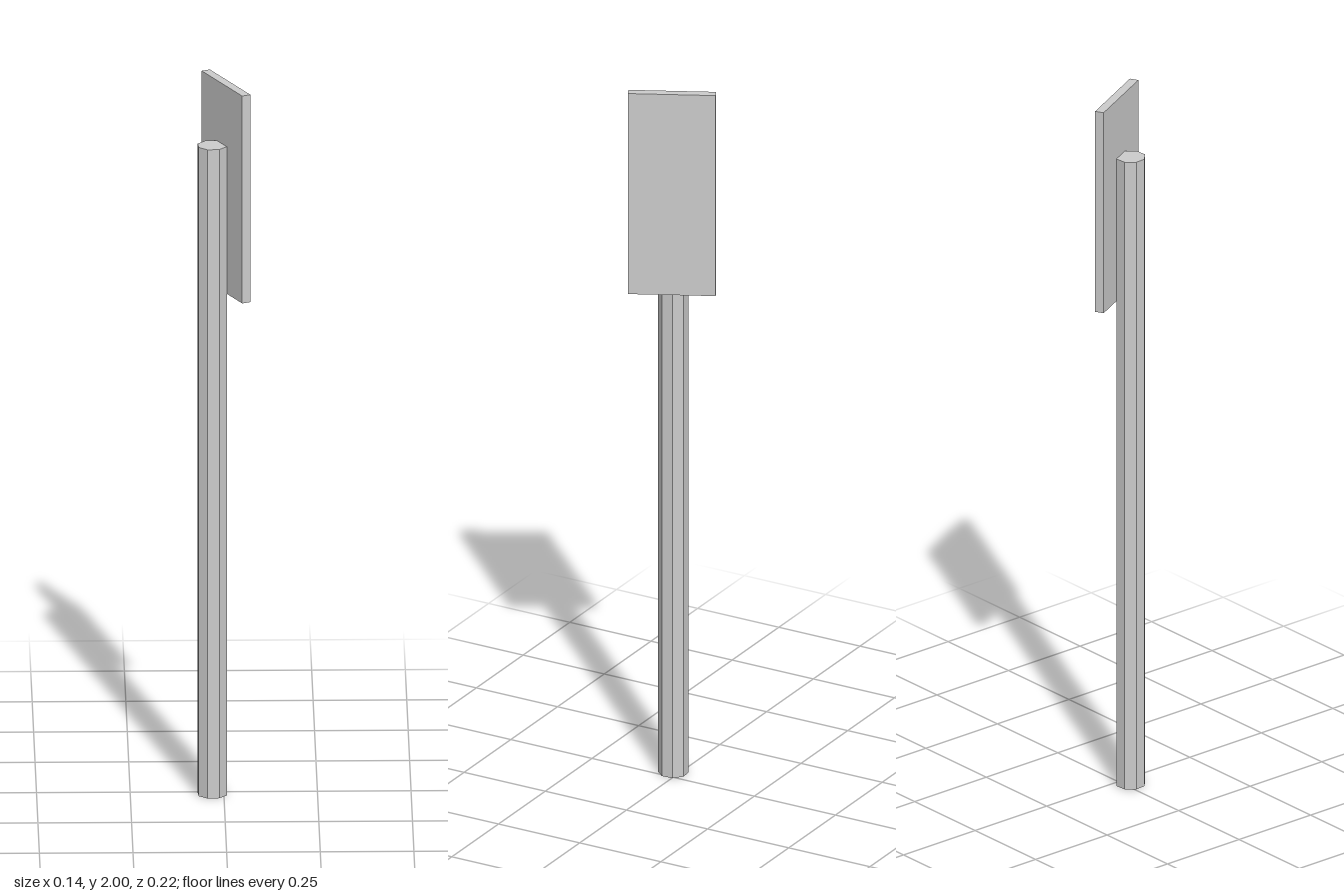
import * as THREE from 'three';

const HEADING = 1.107; // turn of the sign about the vertical axis
const POST = { radius: 0.041, height: 1.83, sides: 8 };
const PANEL = { width: 0.235, height: 0.585, thickness: 0.0245 };

export function createModel() {
  const model = new THREE.Group();
  model.name = 'signPost';
  const material = new THREE.MeshStandardMaterial({
    color: 0xcccccc, flatShading: true, side: THREE.DoubleSide,
  });

  const add = (name, geometry, parent) => {
    const mesh = new THREE.Mesh(geometry, material);
    mesh.name = name;
    parent.add(mesh);
    return mesh;
  };

  // Octagonal post: hollow at the foot, capped at the top
  const post = new THREE.Group();
  post.name = 'post';
  post.position.set(-0.031, 0, 0.017);
  post.rotation.y = -HEADING;
  model.add(post);
  add('postShaft', new THREE.CylinderGeometry(
    POST.radius, POST.radius, POST.height, POST.sides, 1, true), post).position.y = POST.height / 2;
  const cap = add('postCap', new THREE.CircleGeometry(POST.radius, POST.sides), post);
  cap.rotation.x = -Math.PI / 2;
  cap.position.y = POST.height;

  // Flat sign panel fixed against the side of the post
  const panel = add('signPanel', new THREE.BoxGeometry(
    PANEL.width, PANEL.height, PANEL.thickness), model);
  panel.position.set(0.006, 2 - PANEL.height / 2, 0);
  panel.rotation.y = -HEADING;

  return model;
}
